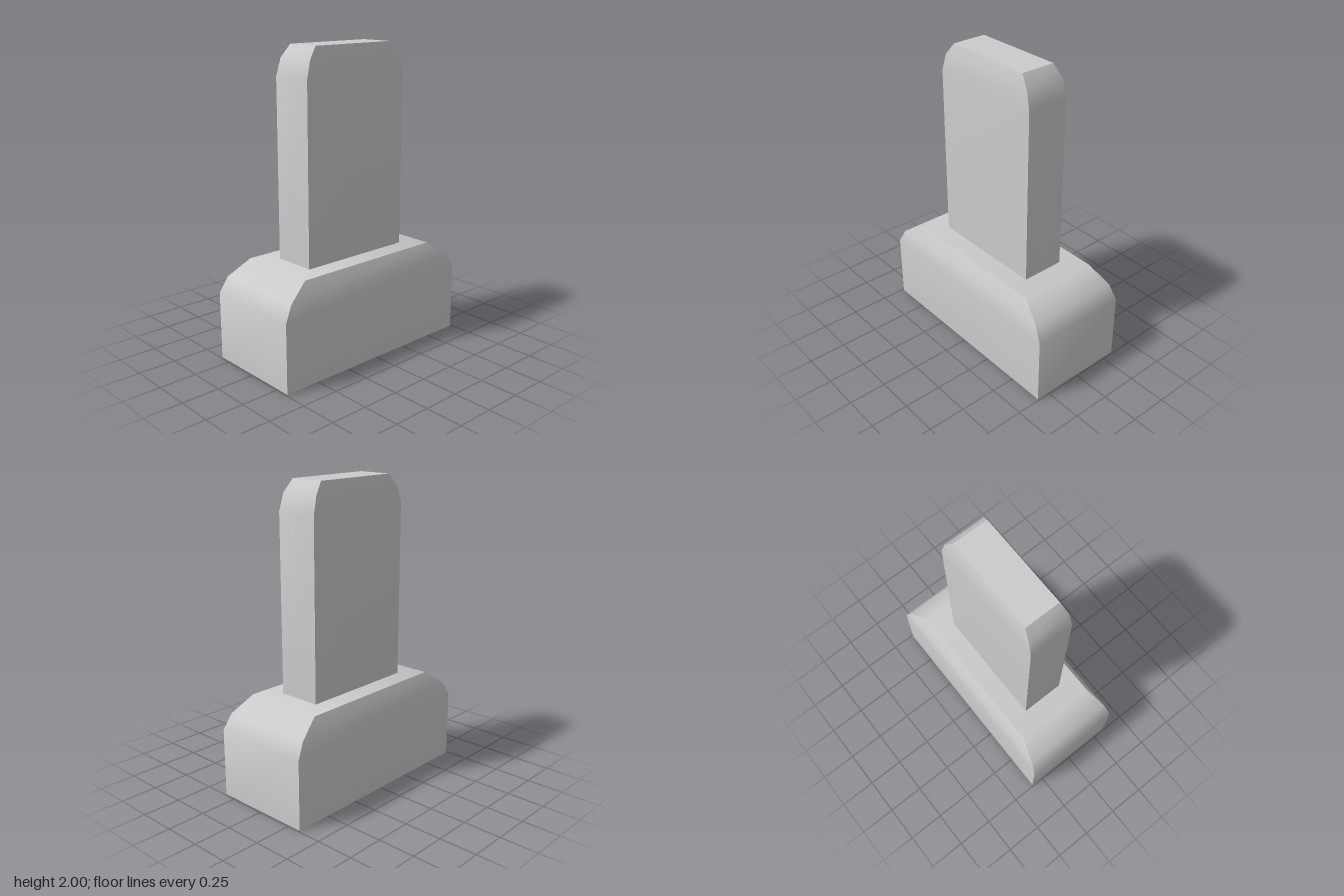
import * as THREE from 'three';
import { toCreasedNormals } from 'three/addons/utils/BufferGeometryUtils.js';

// Stacks rectangular sections [y, halfWidth, halfDepth] into a closed solid.
function loftBox(sections) {
  const positions = [];
  const index = [];
  for (const [y, w, d] of sections) {
    positions.push(-w, y, d, w, y, d, w, y, -d, -w, y, -d);
  }
  const last = (sections.length - 1) * 4;
  for (let s = 0; s < last; s += 4) {
    for (let i = 0; i < 4; i++) {
      const j = (i + 1) % 4;
      index.push(s + i, s + j, s + 4 + j, s + i, s + 4 + j, s + 4 + i);
    }
  }
  index.push(0, 2, 1, 0, 3, 2); // bottom
  index.push(last, last + 1, last + 2, last, last + 2, last + 3); // top
  const geometry = new THREE.BufferGeometry();
  geometry.setAttribute('position', new THREE.Float32BufferAttribute(positions, 3));
  geometry.setIndex(index);
  return toCreasedNormals(geometry, 0.9);
}

export function createModel() {
  const group = new THREE.Group();
  group.name = 'headstone';
  const stone = new THREE.MeshStandardMaterial({ color: 0xcccccc });

  function addPart(name, sections) {
    const mesh = new THREE.Mesh(loftBox(sections), stone);
    mesh.name = name;
    group.add(mesh);
  }

  // Wide plinth with rounded shoulders
  addPart('plinth', [
    [0, 0.74, 0.337],
    [0.45, 0.74, 0.337],
    [0.55, 0.685, 0.32],
    [0.65, 0.54, 0.273],
  ]);

  // Upright slab with rounded top
  addPart('uprightSlab', [
    [0.65, 0.4, 0.145],
    [1.81, 0.4, 0.145],
    [1.92, 0.37, 0.137],
    [2, 0.31, 0.117],
  ]);

  return group;
}
